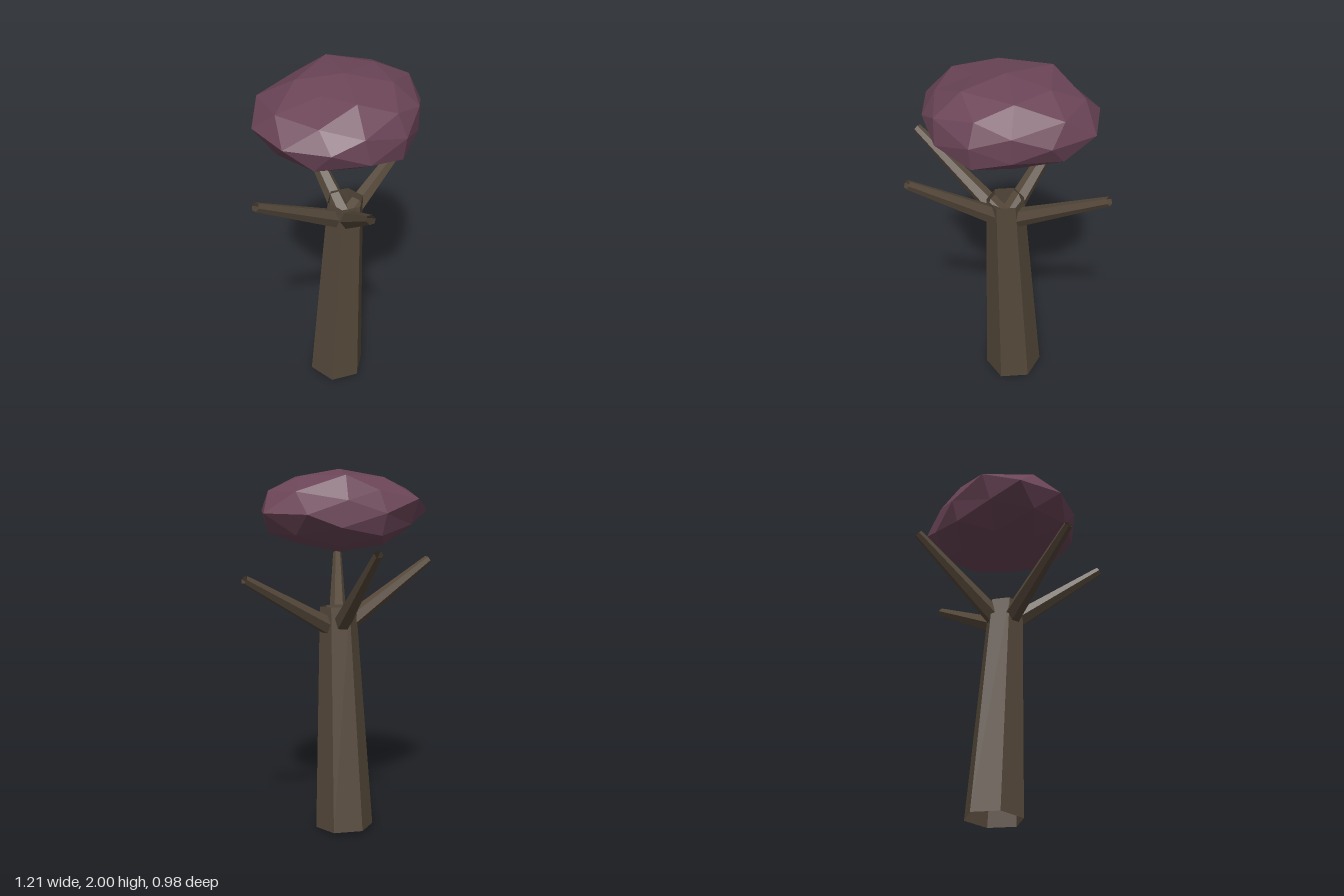
import * as THREE from 'three';

const bark = new THREE.MeshStandardMaterial({ color: 0x55483a, flatShading: true, side: THREE.DoubleSide });
const leaf = new THREE.MeshStandardMaterial({ color: 0x6b4557, flatShading: true });

// Open six-sided tapered tube running from one point to another
function taperedTube(name, from, to, rFrom, rTo) {
  const a = new THREE.Vector3(...from), b = new THREE.Vector3(...to);
  const dir = b.clone().sub(a);
  const mesh = new THREE.Mesh(new THREE.CylinderGeometry(rTo, rFrom, dir.length(), 6, 1, true), bark);
  mesh.name = name;
  mesh.position.copy(a).add(b).multiplyScalar(0.5);
  mesh.quaternion.setFromUnitVectors(new THREE.Vector3(0, 1, 0), dir.normalize());
  return mesh;
}

// Uneven spots of the crown: direction on the unit sphere, then offset
const bumps = [
  [1, 0, 0, 0.025, 0, 0],
  [0.85, 0, 0.526, -0.04, 0, 0.01],
  [-0.85, 0, 0.526, 0.035, 0, 0.01],
  [0.85, 0, -0.526, 0.005, 0, -0.047],
  [-0.85, 0, -0.526, -0.01, 0, -0.047],
  [0.5, 0.309, 0.809, -0.04, 0, 0.005],
  [0.5, -0.309, 0.809, -0.04, 0, 0.005],
  [-0.5, -0.309, 0.809, 0.015, 0, 0.025],
  [-0.5, 0.309, -0.809, 0, 0, -0.06],
  [0.5, 0.309, -0.809, -0.04, 0, 0],
  [0.309, 0.809, -0.5, 0, 0.015, -0.04],
  [-0.526, 0.85, 0, 0.07, -0.018, 0],
  [-0.809, 0.5, 0.309, 0.04, -0.01, 0],
  [0.526, -0.85, 0, -0.04, 0.018, 0],
  [0, -0.526, 0.85, 0, -0.01, 0.04],
  [0, -0.526, -0.85, 0, 0, -0.02],
  [0.309, -0.809, -0.5, 0, 0.005, 0],
];

function crown() {
  const geo = new THREE.IcosahedronGeometry(1, 1);
  const pos = geo.attributes.position, v = new THREE.Vector3();
  for (let i = 0; i < pos.count; i++) {
    v.fromBufferAttribute(pos, i);
    const hit = bumps.find(([x, y, z]) => Math.hypot(v.x - x, v.y - y, v.z - z) < 0.05);
    v.multiply(new THREE.Vector3(0.47, 0.222, 0.395));
    if (hit) v.add(new THREE.Vector3(hit[3], hit[4], hit[5]));
    pos.setXYZ(i, v.x, v.y, v.z);
  }
  geo.computeVertexNormals();
  const mesh = new THREE.Mesh(geo, leaf);
  mesh.name = 'leafCrown';
  mesh.position.set(-0.003, 1.777, 0.035);
  return mesh;
}

export function createModel() {
  const tree = new THREE.Group();
  tree.name = 'tree';

  // Leaning hollow trunk
  tree.add(taperedTube('trunk', [0.01, 0.01, -0.027], [-0.004, 1.255, 0.047], 0.161, 0.101));

  // Branches fan out from one point inside the trunk
  const hub = [0, 1.115, 0.043];
  const tips = {
    rightBranch: [-0.595, 1.483, -0.043],
    leftBranch: [0.593, 1.442, 0.068],
    frontBranch: [-0.338, 1.498, 0.472],
    backBranch: [0.152, 1.585, -0.472],
  };
  for (const [name, tip] of Object.entries(tips)) tree.add(taperedTube(name, hub, tip, 0.055, 0.025));

  // Floating flattened crown
  tree.add(crown());
  return tree;
}
